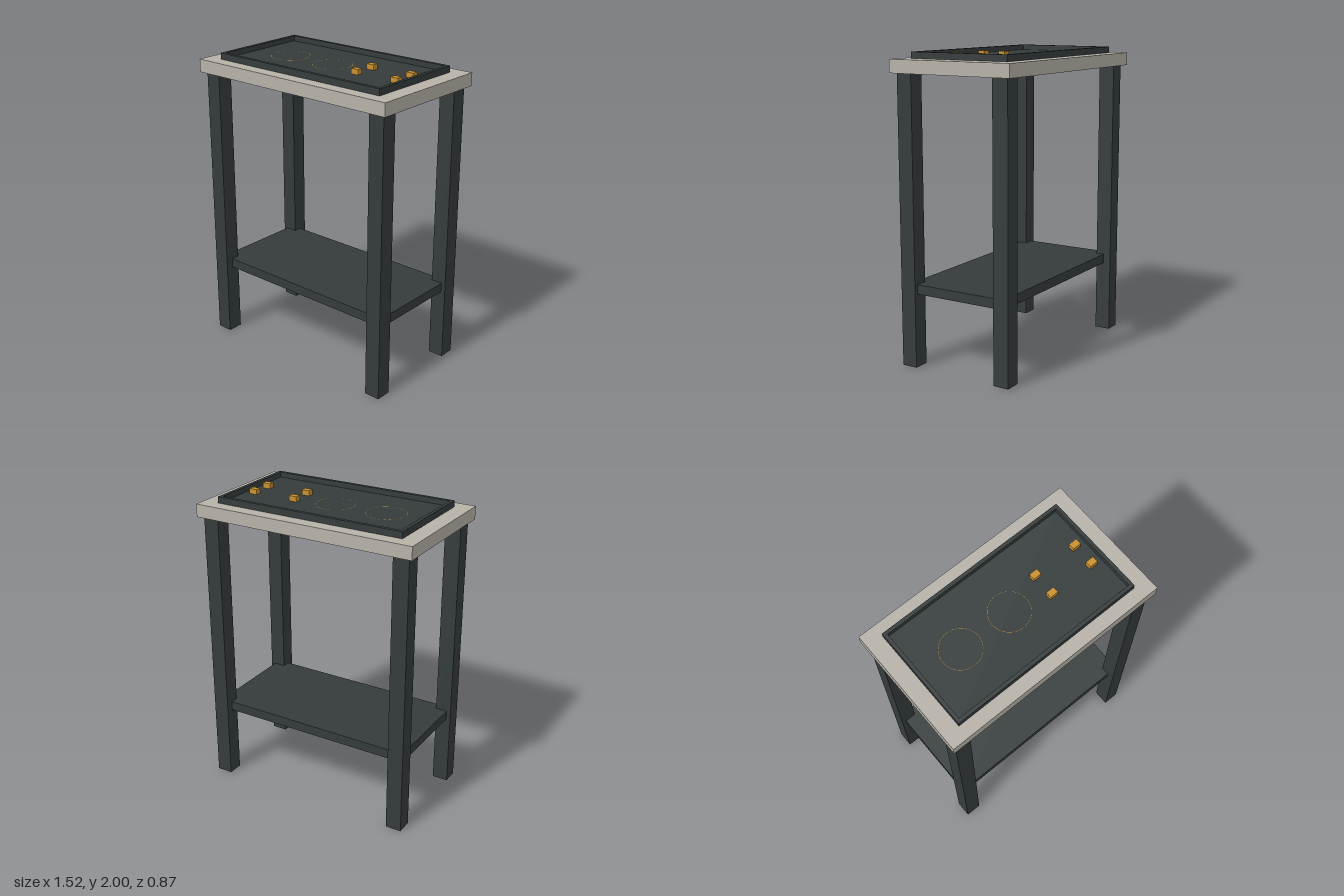
import * as THREE from 'three';

export function createModel() {
  const model = new THREE.Group();
  const mat = (name, color) => {
    const m = new THREE.MeshStandardMaterial({ color });
    m.name = name;
    return m;
  };
  const dark = mat('dark slate', 0x353b3b);
  const stone = mat('warm grey stone', 0xb7b2a8);
  const brass = mat('brass', 0xc9912f);

  const add = (name, geometry, material, x, y, z) => {
    const mesh = new THREE.Mesh(geometry, material);
    mesh.name = name;
    mesh.position.set(x, y, z);
    model.add(mesh);
    return mesh;
  };
  // box given by its size, centre in plan and bottom height
  const box = (name, w, h, d, x, bottom, z, material) =>
    add(name, new THREE.BoxGeometry(w, h, d), material, x, bottom + h / 2, z);

  // worktop, four square legs and the lower shelf
  box('worktop', 1.52, 0.085, 0.866, 0, 1.873, 0, stone);
  for (const sx of [-1, 1]) {
    for (const sz of [-1, 1]) {
      box('leg', 0.106, 1.873, 0.106, sx * 0.675, 0, sz * 0.347, dark);
    }
  }
  box('shelf', 1.4, 0.063, 0.7, 0, 0.482, 0, dark);

  // cooktop: sunken panel inside a raised rim
  const rect = (path, w, d) => {
    path.moveTo(-w / 2, -d / 2);
    path.lineTo(w / 2, -d / 2);
    path.lineTo(w / 2, d / 2);
    path.lineTo(-w / 2, d / 2);
    path.closePath();
    return path;
  };
  const outline = rect(new THREE.Shape(), 1.304, 0.694);
  outline.holes.push(rect(new THREE.Path(), 1.258, 0.646));
  const rim = new THREE.ExtrudeGeometry(outline, { depth: 0.042, bevelEnabled: false });
  rim.rotateX(-Math.PI / 2);
  add('cooktopRim', rim, dark, 0, 1.958, 0);
  box('cooktopPanel', 1.258, 0.007, 0.646, 0, 1.958, 0, dark);

  // burner rings, almost flush with the panel
  for (const x of [-0.36, 0]) {
    const ring = new THREE.TorusGeometry(0.128, 0.004, 8, 40);
    ring.rotateX(Math.PI / 2);
    add('burnerRing', ring, brass, x, 1.9613, 0);
  }

  // control blocks
  for (const x of [0.258, 0.562]) {
    for (const z of [-0.075, 0.075]) {
      box('controlBlock', 0.055, 0.034, 0.041, x, 1.965, z, brass);
    }
  }
  return model;
}
